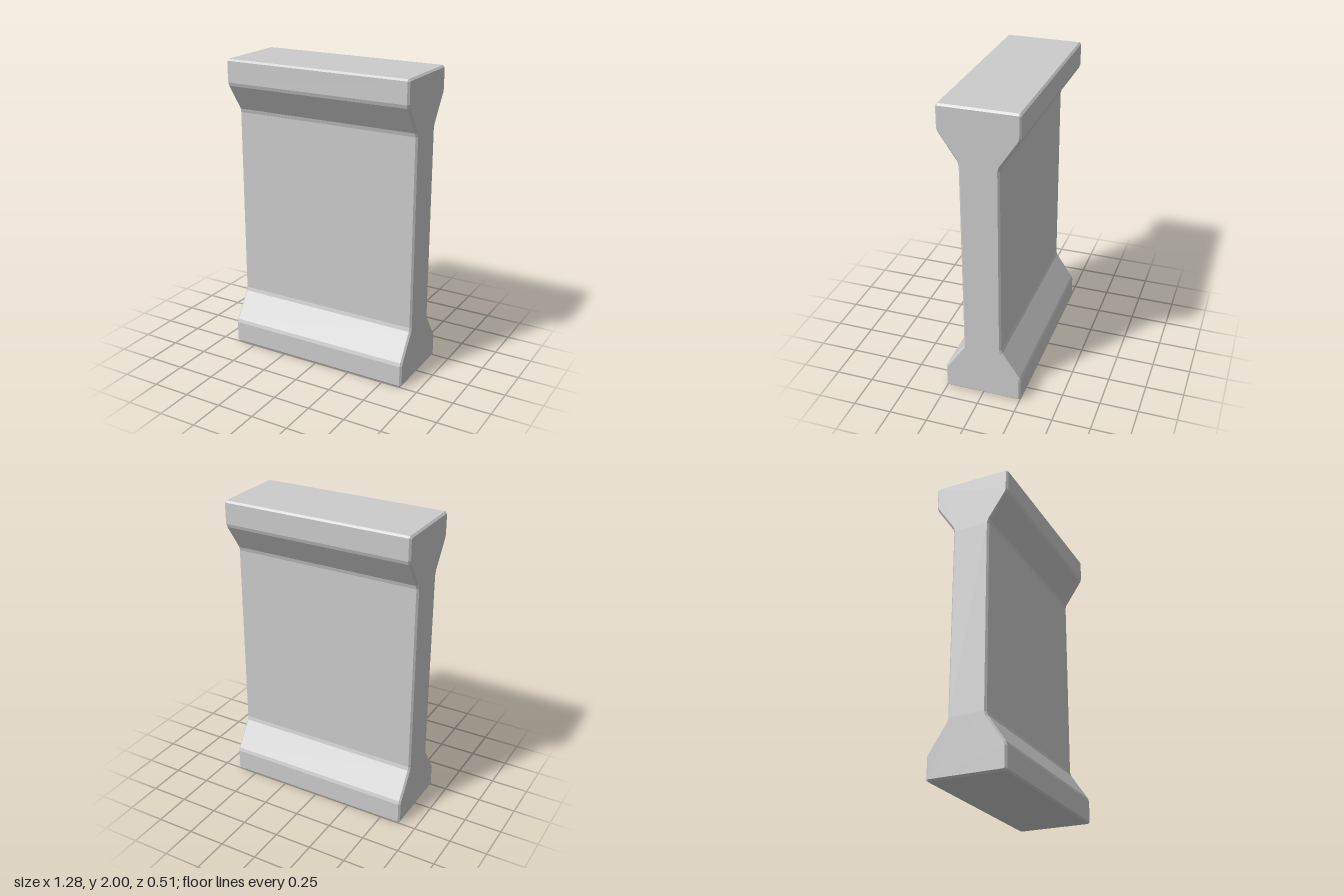
import * as THREE from 'three';

const WIDTH = 1.28, HEIGHT = 2, BEVEL = 0.012;

// Lower right quarter of the I-shaped section: [half depth, height]
const QUARTER = [
  [0.243, 0], [0.255, 0.012],      // chamfered foot edge
  [0.255, 0.15], [0.247, 0.173],   // flange side into slope
  [0.132, 0.345], [0.125, 0.37],   // slope into web
];

export function createModel() {
  const group = new THREE.Group();
  group.name = 'beam';

  // Mirror the quarter upward, then across, to close the section
  const half = [...QUARTER, ...QUARTER.map(([d, y]) => [d, HEIGHT - y]).reverse()];
  const outline = [...half, ...half.map(([d, y]) => [-d, y]).reverse()];
  const shape = new THREE.Shape(outline.map(([d, y]) => new THREE.Vector2(d, y)));

  // Extrude along the width, with chamfered ends
  const geometry = new THREE.ExtrudeGeometry(shape, {
    depth: WIDTH - 2 * BEVEL,
    bevelEnabled: true,
    bevelSegments: 1,
    bevelSize: BEVEL,
    bevelThickness: BEVEL,
    bevelOffset: -BEVEL,
  });
  geometry.translate(0, 0, BEVEL - WIDTH / 2);
  geometry.rotateY(Math.PI / 2);

  const material = new THREE.MeshStandardMaterial({ color: 0xcccccc, flatShading: true });
  const beam = new THREE.Mesh(geometry, material);
  beam.name = 'flangedBeam';
  group.add(beam);
  return group;
}
